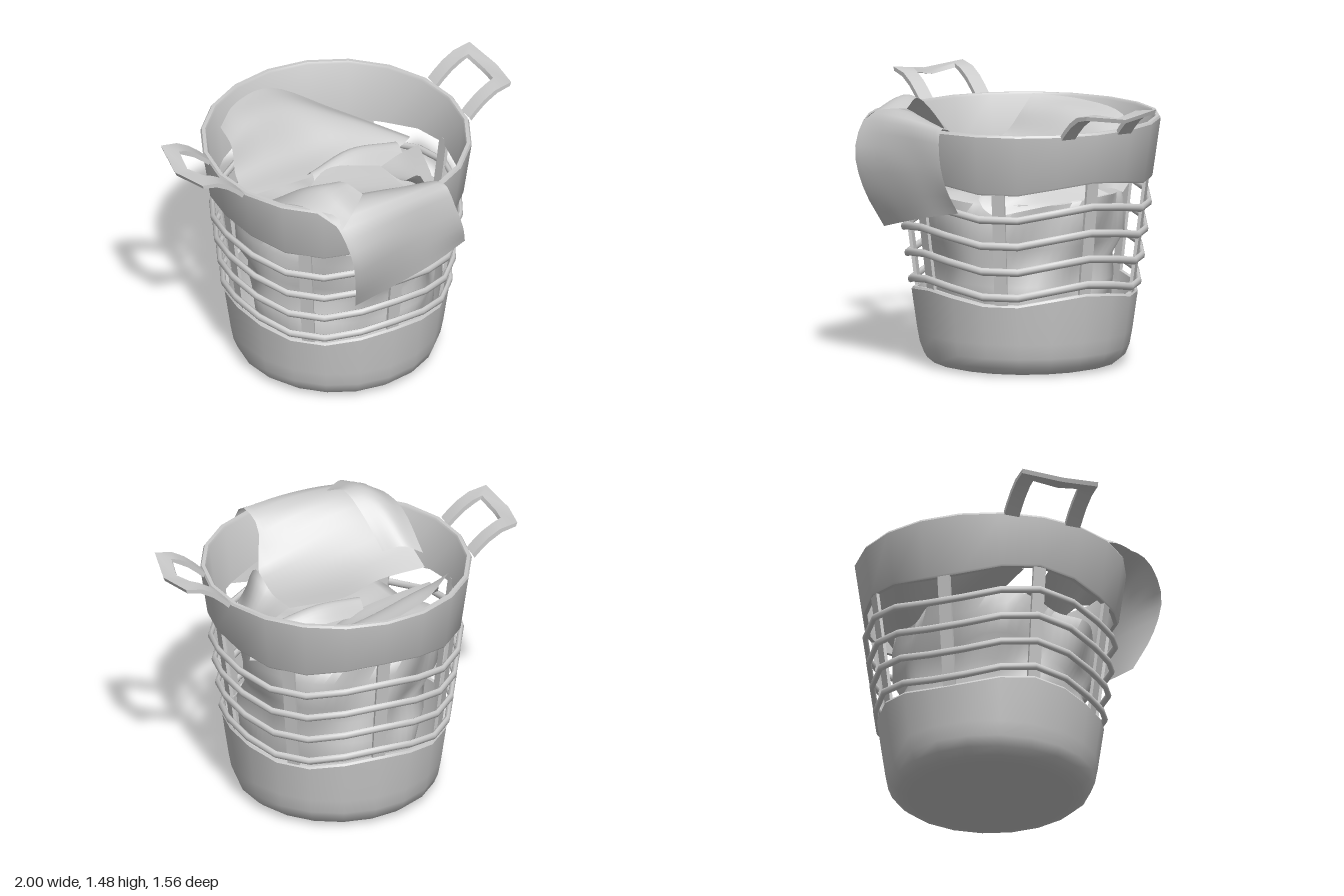
import * as THREE from 'three';
import { toCreasedNormals } from 'three/addons/utils/BufferGeometryUtils.js';

const SEG = 20;                                   // sides of the basket
const wall = y => 0.612 + 0.13 * (y - 0.44);      // outer radius at a height
const wave = a => Math.cos(4 * a);                // four crests around the basket
const material = new THREE.MeshStandardMaterial({ color: 0xcccccc });
const clothMaterial = new THREE.MeshStandardMaterial({ color: 0xcccccc, side: THREE.DoubleSide });

// Joins equal rows of [x, y, z] points into a surface
function skin(rows, crease) {
  const n = rows[0].length, index = [];
  for (let i = 0; i < rows.length - 1; i++) {
    for (let j = 0; j < n - 1; j++) {
      const a = i * n + j, b = a + n;
      index.push(a, b, b + 1, a, b + 1, a + 1);
    }
  }
  const geo = new THREE.BufferGeometry();
  geo.setAttribute('position', new THREE.Float32BufferAttribute(rows.flat(2), 3));
  geo.setIndex(index);
  if (crease) return toCreasedNormals(geo, crease);
  geo.computeVertexNormals();
  return geo;
}

// Sweeps a [radius, height] section, which may vary with the angle, around y
function ring(sectionAt, seg = SEG, crease = 0.6) {
  const rows = [];
  for (let i = 0; i <= seg; i++) {
    const a = (i % seg) / seg * Math.PI * 2;
    rows.push(sectionAt(a).map(([r, y]) => [r * Math.sin(a), y, r * Math.cos(a)]));
  }
  return skin(rows, crease);
}

// Smooth cloth through a coarse grid of points
function cloth(grid, steps = 20) {
  const smooth = pts => new THREE.CatmullRomCurve3(pts).getPoints(steps);
  const across = grid.map(row => smooth(row.map(p => new THREE.Vector3(...p))));
  const rows = across[0].map((_, i) => smooth(across.map(r => r[i])).map(p => p.toArray()));
  return skin(rows);
}

// One loop handle on the +x side: flat bar with outer and inner edges
function handleGeometry() {
  const half = [ // outer x, y, z, inner x, y, z
    [0.7, 1.34, 0.22, 0.7, 1.34, 0.135],
    [0.735, 1.375, 0.22, 0.735, 1.375, 0.135],
    [0.79, 1.422, 0.22, 0.79, 1.422, 0.135],
    [0.86, 1.463, 0.22, 0.85, 1.458, 0.135],
    [0.96, 1.482, 0.22, 0.9, 1.477, 0.13],
  ];
  const mirrored = half.map(([a, b, c, d, e, f]) => [a, b, -c, d, e, -f]).reverse();
  const t = 0.022;
  const rows = [...half, [1, 1.452, 0, 0.925, 1.45, 0], ...mirrored].map(([a, b, c, d, e, f]) => {
    const shift = a < 0.9 ? 0.012 : -0.008;
    return [[a, b, c], [d, e, f], [d + shift, e - t, f], [a + shift, b - t, c], [a, b, c]];
  });
  return skin(rows, 0.7);
}

export function createModel() {
  const model = new THREE.Group();
  const basket = new THREE.Group();
  basket.name = 'basket';
  basket.position.z = -0.05;
  model.add(basket);
  const add = (parent, name, geo, mat = material) => {
    const mesh = new THREE.Mesh(geo, mat);
    mesh.name = name;
    parent.add(mesh);
    return mesh;
  };

  // Solid tub with a wavy top edge
  add(basket, 'tub', ring(a => {
    const top = 0.422 + 0.027 * wave(a), r = wall(top);
    return [[0.001, 0], [0.45, 0], [0.5, 0.012], [0.54, 0.045], [0.562, 0.1], [0.577, 0.18],
      [r, top - 0.012], [r - 0.008, top], [r - 0.028, top], [0.545, 0.15], [0.5, 0.04], [0.001, 0.03]];
  }));

  // Tall rim band with a wavy lower edge
  add(basket, 'rimBand', ring(a => {
    const low = 1.032 + 0.03 * wave(a), r = wall(low);
    return [[r - 0.028, low], [r - 0.006, low], [r, low + 0.01], [0.73, 1.33], [0.723, 1.342],
      [0.704, 1.342], [0.697, 1.33], [r - 0.028, low]];
  }));

  // Four wavy hoops
  for (const mid of [0.468, 0.61, 0.753, 0.898]) {
    add(basket, 'hoop', ring(a => {
      const y = mid + 0.033 * wave(a), r = wall(y);
      return Array.from({ length: 9 }, (_, k) => {
        const t = (k % 8) / 8 * Math.PI * 2;
        return [r + 0.015 * Math.cos(t), y + 0.021 * Math.sin(t)];
      });
    }, SEG, 0.9));
  }

  // Eight upright slats behind the hoops
  for (let i = 0; i < 8; i++) {
    const slat = new THREE.Group();
    slat.name = 'slat';
    slat.rotation.y = i * Math.PI / 4;
    const bar = add(slat, 'slatBar', new THREE.BoxGeometry(0.07, 0.7, 0.018));
    bar.position.set(0, 0.74, wall(0.74) - 0.022);
    bar.rotation.x = Math.atan(0.13);
    basket.add(slat);
  }

  // Handles on both sides
  for (const side of [0, 1]) {
    const handle = add(basket, side ? 'rightHandle' : 'leftHandle', handleGeometry());
    handle.rotation.y = side * Math.PI;
  }

  // Crumpled laundry filling the basket
  const pile = [[0.4, 0.08], [0.47, 0.28], [0.5, 0.48], [0.47, 0.59], [0.52, 0.7], [0.53, 0.86],
    [0.53, 0.94], [0.46, 0.96], [0.3, 0.95], [0.001, 0.95]];
  const laundry = add(basket, 'laundryPile', ring(a => pile.map(([r, y]) => {
    const fold = -0.05 * Math.sin(3 * a + 5 * y) - 0.035 * Math.sin(7 * a - 9 * y);
    return [r * (1 + fold), y + 0.25 * fold * Math.min(1, r * 3)];
  }), 64, 1.2), clothMaterial);
  laundry.position.z = 0.03;

  // Cloth leaning up against the back wall
  add(model, 'backCloth', cloth([
    [[-0.5, 1.35, -0.42], [-0.3, 1.33, -0.6], [-0.03, 1.28, -0.69], [0.3, 1.09, -0.59], [0.6, 0.98, -0.29]],
    [[-0.48, 1.27, -0.34], [-0.26, 1.29, -0.46], [0, 1.24, -0.52], [0.28, 1.12, -0.45], [0.57, 1.0, -0.25]],
    [[-0.51, 1.14, -0.24], [-0.28, 1.12, -0.29], [0, 1.08, -0.32], [0.25, 1.05, -0.3], [0.5, 0.99, -0.22]],
    [[-0.53, 1.11, -0.08], [-0.32, 1.09, -0.1], [-0.1, 1.06, -0.13], [0.15, 1.0, -0.2], [0.42, 0.96, -0.2]],
  ]), clothMaterial);

  // Folded strip across the middle
  add(model, 'middleCloth', cloth([
    [[-0.12, 1.04, -0.17], [0.15, 1.07, -0.23], [0.43, 1.01, -0.24]],
    [[-0.12, 1.11, -0.1], [0.15, 1.14, -0.14], [0.44, 1.08, -0.15]],
    [[-0.15, 1.04, 0], [0.15, 1.05, -0.03], [0.44, 0.99, -0.05]],
  ], 12), clothMaterial);

  // Ridged cloth sloping down on the left side
  add(model, 'sideCloth', cloth([
    [[0.25, 1.08, 0], [0.42, 1.05, -0.09], [0.6, 0.98, -0.2]],
    [[0.28, 1.08, 0.17], [0.41, 1.0, 0.1], [0.55, 0.95, 0.01]],
    [[0.32, 1.17, 0.3], [0.4, 0.98, 0.25], [0.49, 0.92, 0.19]],
    [[0.32, 0.97, 0.45], [0.36, 0.92, 0.44], [0.41, 0.88, 0.4]],
  ], 12), clothMaterial);

  // Large cloth hanging over the front rim
  add(model, 'drapedCloth', cloth([
    [[-0.56, 1.12, 0.06], [-0.3, 1.1, 0.06], [-0.03, 1.12, -0.08], [0.25, 1.08, -0.01]],
    [[-0.53, 1.21, 0.24], [-0.28, 1.15, 0.22], [0, 1.1, 0.2], [0.28, 1.06, 0.22]],
    [[-0.49, 1.31, 0.4], [-0.27, 1.27, 0.39], [0, 1.19, 0.38], [0.27, 1.1, 0.38]],
    [[-0.46, 1.37, 0.54], [-0.25, 1.38, 0.54], [0, 1.35, 0.54], [0.22, 1.3, 0.52]],
    [[-0.43, 1.34, 0.68], [-0.22, 1.36, 0.69], [0.02, 1.365, 0.68], [0.26, 1.355, 0.65]],
    [[-0.39, 1.17, 0.78], [-0.16, 1.19, 0.745], [0.08, 1.2, 0.71], [0.31, 1.2, 0.69]],
    [[-0.35, 0.96, 0.75], [-0.1, 1.0, 0.72], [0.13, 1.03, 0.7], [0.36, 1.05, 0.68]],
    [[-0.295, 0.755, 0.655], [-0.06, 0.815, 0.67], [0.17, 0.87, 0.67], [0.4, 0.92, 0.63]],
  ]), clothMaterial);

  // Corner of the cloth turned back over the rim
  add(model, 'foldedCorner', cloth([
    [[-0.57, 1.18, 0.11], [-0.55, 1.33, 0.35], [-0.5, 1.37, 0.5], [-0.41, 1.32, 0.71]],
    [[-0.47, 1.22, 0.15], [-0.43, 1.39, 0.35], [-0.38, 1.44, 0.48], [-0.33, 1.38, 0.68]],
    [[-0.37, 1.19, 0.19], [-0.31, 1.36, 0.35], [-0.26, 1.44, 0.47], [-0.2, 1.4, 0.57]],
  ], 12), clothMaterial);

  return model;
}
